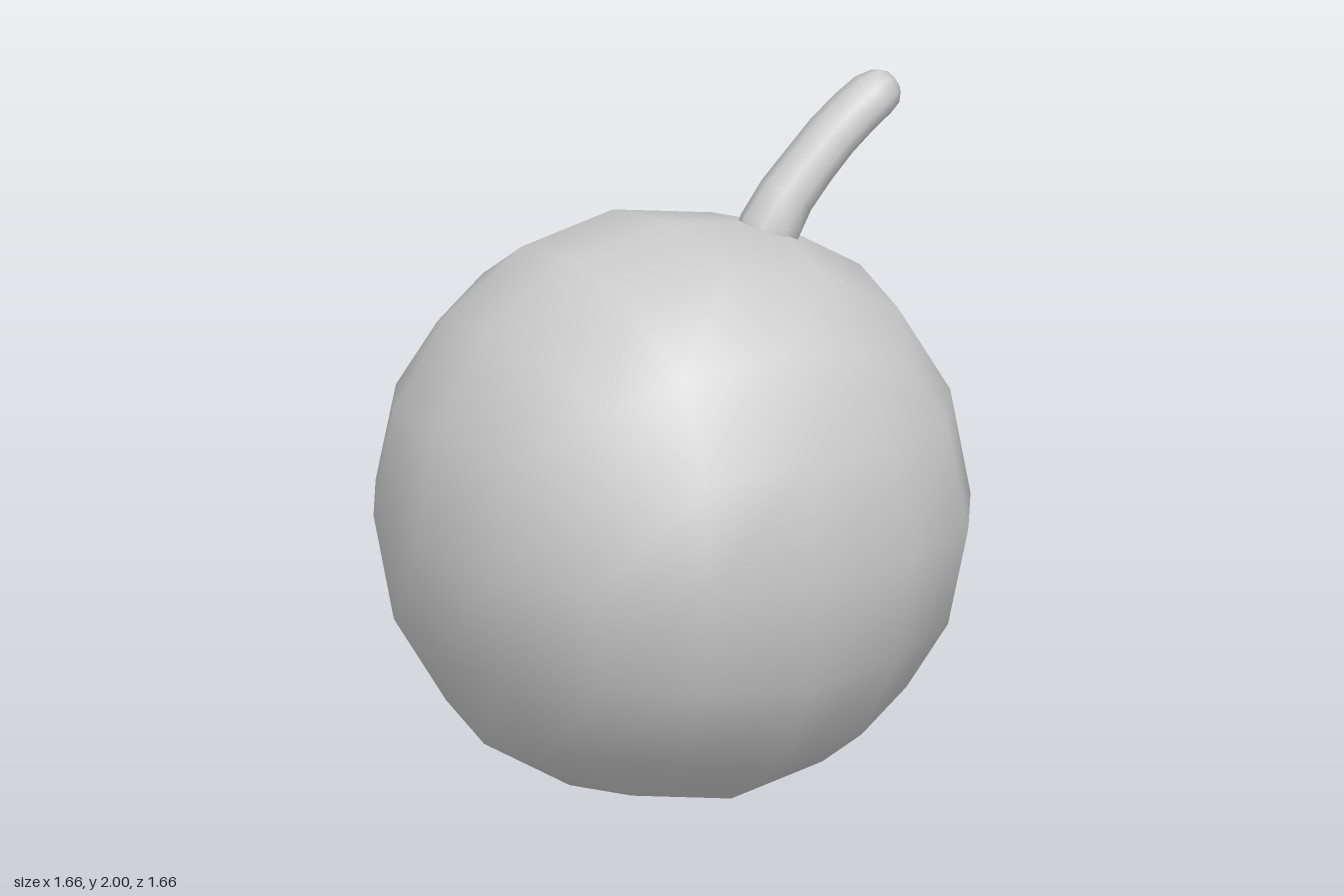
import * as THREE from 'three';
import { mergeVertices } from 'three/addons/utils/BufferGeometryUtils.js';

const grey = new THREE.MeshStandardMaterial({ color: 0xcccccc });

function smooth(geometry) {
  geometry.deleteAttribute('uv');
  geometry.deleteAttribute('normal');
  const merged = mergeVertices(geometry, 1e-4);
  merged.computeVertexNormals();
  return merged;
}

// Round body: a 4x4x4 box rounded like a twice subdivided cube.
// Each key is a vertex's grid steps from the centre, largest first;
// the values are the rounded distances for those steps.
function createBody() {
  const rounded = {
    '200': { 2: 0.8785, 0: 0 },
    '210': { 2: 0.8195, 1: 0.3505, 0: 0 },
    '220': { 2: 0.643, 0: 0 },
    '211': { 2: 0.764, 1: 0.326 },
    '221': { 2: 0.599, 1: 0.302 },
    '222': { 2: 0.509 },
  };
  const radius = 0.83;
  const scale = radius / 0.8785;
  const geometry = new THREE.BoxGeometry(4, 4, 4, 4, 4, 4);
  const pos = geometry.attributes.position;
  for (let i = 0; i < pos.count; i++) {
    const p = [pos.getX(i), pos.getY(i), pos.getZ(i)].map(Math.round);
    const steps = p.map(Math.abs);
    const table = rounded[[...steps].sort((a, b) => b - a).join('')];
    pos.setXYZ(i, ...p.map((v, k) => Math.sign(v) * table[steps[k]] * scale));
  }
  const body = new THREE.Mesh(smooth(geometry), grey);
  body.name = 'body';
  body.position.y = radius;
  return body;
}

// Curved stem: eight-sided oval rings along a bent path, closed at both ends
function createStem() {
  // x, y, half thickness in the bend plane, half width along z
  const rings = [
    [0.28, 1.5, 0, 0],
    [0.28, 1.5, 0.09, 0.09],
    [0.315, 1.595, 0.088, 0.09],
    [0.37, 1.68, 0.077, 0.09],
    [0.44, 1.755, 0.07, 0.09],
    [0.515, 1.83, 0.068, 0.09],
    [0.59, 1.89, 0.066, 0.09],
    [0.65, 1.93, 0.064, 0.088],
    [0.69, 1.949, 0.057, 0.07],
    [0.711, 1.957, 0.037, 0.045],
    [0.715, 1.959, 0, 0],
  ];
  const sides = 8;
  const positions = [];
  const index = [];
  rings.forEach(([x, y, thick, wide], i) => {
    const a = rings[Math.max(i - 1, 0)];
    const b = rings[Math.min(i + 1, rings.length - 1)];
    const angle = Math.atan2(b[1] - a[1], b[0] - a[0]);
    for (let k = 0; k < sides; k++) {
      const t = (k / sides) * Math.PI * 2;
      const n = thick * Math.cos(t);
      positions.push(x - Math.sin(angle) * n, y + Math.cos(angle) * n, wide * Math.sin(t));
      if (i === rings.length - 1) continue;
      const p = i * sides + k;
      const q = i * sides + ((k + 1) % sides);
      index.push(p, q, p + sides, q, q + sides, p + sides);
    }
  });
  const geometry = new THREE.BufferGeometry();
  geometry.setAttribute('position', new THREE.Float32BufferAttribute(positions, 3));
  geometry.setIndex(index);
  const stem = new THREE.Mesh(smooth(geometry), grey);
  stem.name = 'stem';
  return stem;
}

export function createModel() {
  const model = new THREE.Group();
  model.name = 'roundFruit';
  model.add(createBody(), createStem());
  return model;
}
